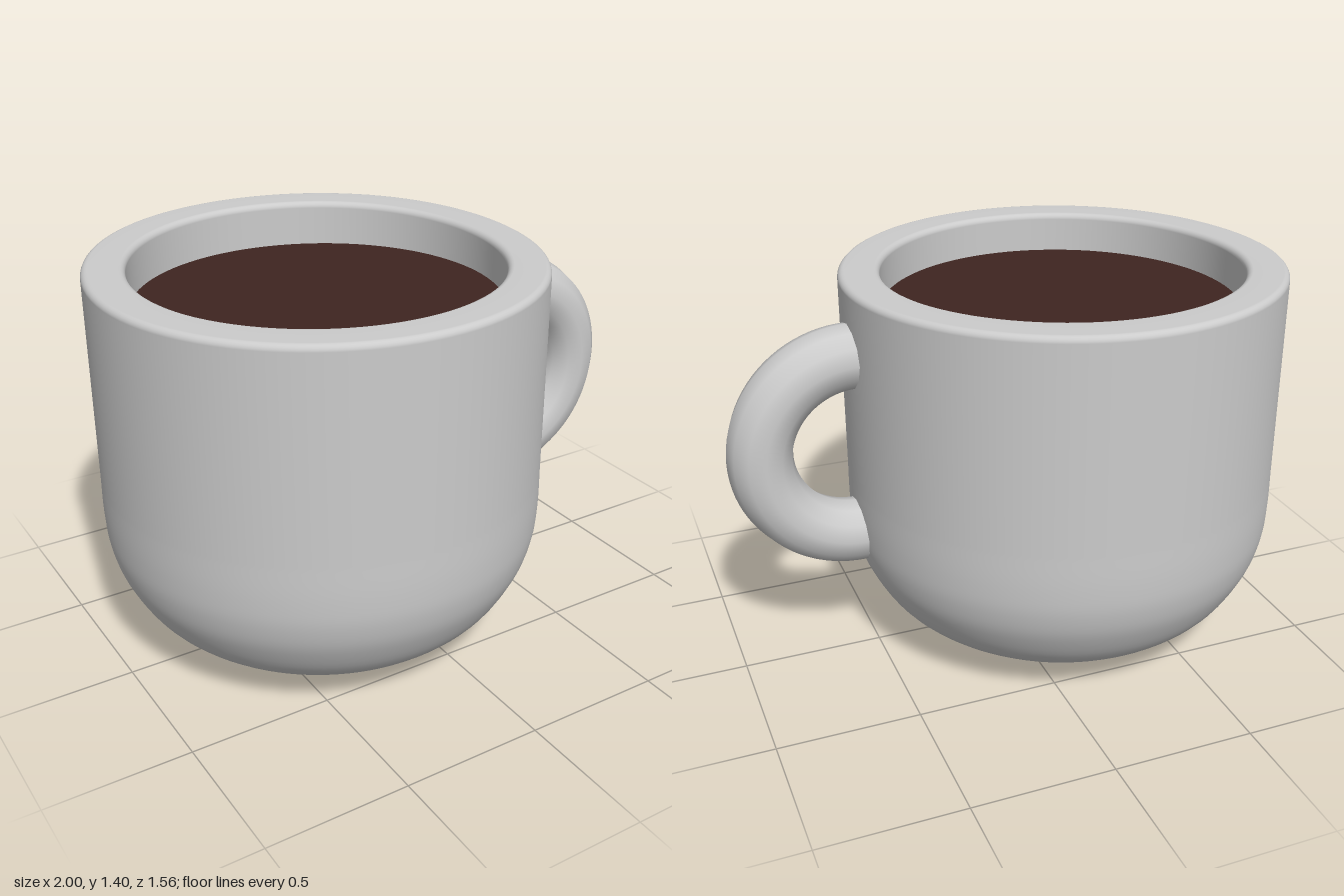
import * as THREE from 'three';

const CENTER_X = -0.22;
const v2 = (x, y) => new THREE.Vector2(x, y);

// Quarter-round corner sampled from angle a0 to a1
function corner(cx, cy, r, a0, a1, steps = 5) {
  return Array.from({ length: steps + 1 }, (_, i) => {
    const a = a0 + ((a1 - a0) * i) / steps;
    return v2(cx + r * Math.cos(a), cy + r * Math.sin(a));
  });
}

function createCup(material) {
  // Softly rounded underside, rising into the straight wall
  const base = new THREE.SplineCurve([
    v2(0, 0), v2(0.2, 0.007), v2(0.36, 0.027), v2(0.52, 0.075), v2(0.652, 0.172),
    v2(0.733, 0.3), v2(0.768, 0.41), v2(0.778, 0.52), v2(0.778, 0.65),
  ]).getPoints(40);
  const profile = [
    ...base,
    ...corner(0.756, 1.358, 0.022, 0, Math.PI / 2),
    ...corner(0.655, 1.358, 0.022, Math.PI / 2, Math.PI),
    v2(0.633, 0.45),
    ...corner(0.383, 0.4, 0.25, 0, -Math.PI / 2, 8),
    v2(0, 0.15),
  ];
  const geometry = new THREE.LatheGeometry(profile, 96);

  // The rim rises slightly toward the back
  const pos = geometry.attributes.position;
  for (let i = 0; i < pos.count; i++) {
    if (pos.getY(i) < 1.3) continue;
    const back = THREE.MathUtils.smoothstep(-pos.getZ(i), -0.3, 0.8);
    pos.setY(i, pos.getY(i) + 0.018 * back);
  }
  const cup = new THREE.Mesh(geometry, material);
  cup.name = 'cup';
  cup.position.x = CENTER_X;
  return cup;
}

function createHandle(material) {
  // Slightly more than half a ring, so both ends sink into the wall
  const overlap = 0.15;
  const geometry = new THREE.TorusGeometry(0.33, 0.114, 12, 48, Math.PI + 2 * overlap);
  geometry.rotateZ(-Math.PI / 2 - overlap);
  const handle = new THREE.Mesh(geometry, material);
  handle.name = 'handle';
  handle.position.set(0.553, 0.815, 0);
  return handle;
}

function createDrink() {
  const geometry = new THREE.CircleGeometry(0.634, 96).rotateX(-Math.PI / 2);
  const drink = new THREE.Mesh(geometry, new THREE.MeshStandardMaterial({ color: 0x3e2520 }));
  drink.name = 'drink';
  drink.position.set(CENTER_X, 1.235, 0);
  return drink;
}

export function createModel() {
  const grey = new THREE.MeshStandardMaterial({ color: 0xcccccc });
  const mug = new THREE.Group();
  mug.name = 'mug';
  mug.add(createCup(grey), createHandle(grey), createDrink());
  return mug;
}
